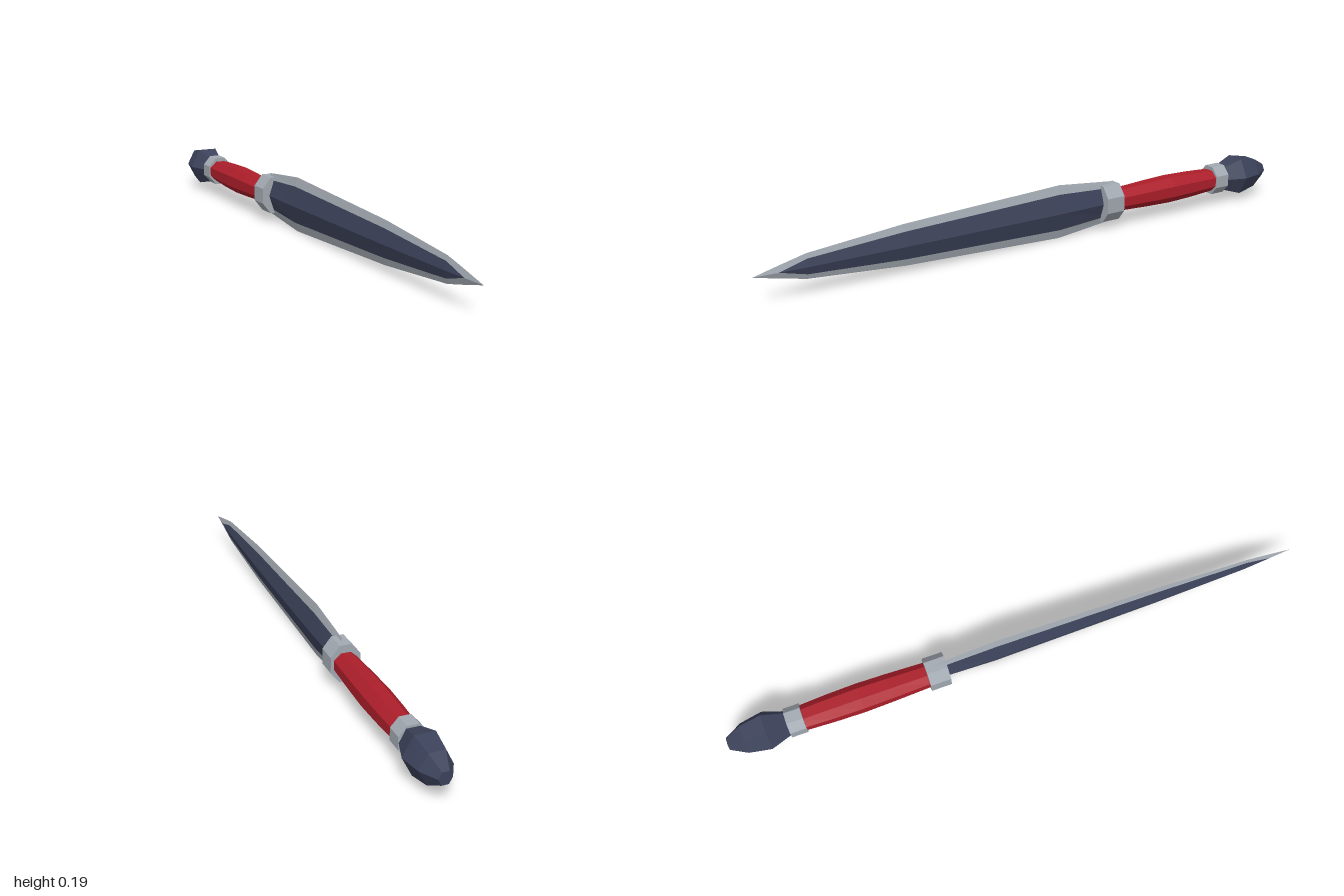
import * as THREE from 'three';

const AXIS_Y = 0.097;

const material = (name, color) => {
  const m = new THREE.MeshStandardMaterial({ color, flatShading: true });
  m.name = name;
  return m;
};

// Skin rings (counter-clockwise seen from +z, ordered from +z to -z).
// Only the bands accepted by useBand are built; the ends are capped on request.
function loft(rings, useBand = () => true, capped = false) {
  const pos = [];
  const tri = (a, b, c) => {
    const area = new THREE.Triangle(a, b, c).getArea();
    if (area > 1e-9) for (const p of [a, b, c]) pos.push(p.x, p.y, p.z);
  };
  const n = rings[0].length;
  for (let r = 0; r < rings.length - 1; r++) {
    const A = rings[r], B = rings[r + 1];
    for (let k = 0; k < n; k++) {
      if (!useBand(k)) continue;
      const j = (k + 1) % n;
      tri(A[k], B[k], A[j]);
      tri(A[j], B[k], B[j]);
    }
  }
  if (capped) {
    const first = rings[0], last = rings[rings.length - 1];
    for (let k = 1; k < n - 1; k++) {
      tri(first[0], first[k], first[k + 1]);
      tri(last[0], last[k + 1], last[k]);
    }
  }
  const g = new THREE.BufferGeometry();
  g.setAttribute('position', new THREE.Float32BufferAttribute(pos, 3));
  g.computeVertexNormals();
  return g;
}

// Polygon ring with half-width w and half-height h
function polygon(sides, z, w, h, turn = 0) {
  const k = turn ? 1 / Math.cos(Math.PI / sides) : 1;
  return Array.from({ length: sides }, (_, i) => {
    const a = ((i + turn) / sides) * Math.PI * 2;
    return new THREE.Vector3(Math.cos(a) * w * k, Math.sin(a) * h * k, z);
  });
}

// Diamond blade section: edge half-height, inlay half-height, half-thickness
function bladeRing([z, edge, inlay, thick]) {
  const a = edge > 0 ? thick * (1 - inlay / edge) : 0;
  return [
    [thick, 0], [a, inlay], [0, edge], [-a, inlay],
    [-thick, 0], [-a, -inlay], [0, -edge], [a, -inlay],
  ].map(([x, y]) => new THREE.Vector3(x, y, z));
}

export function createModel() {
  const steel = material('steel', 0xa3aab2);
  const darkMetal = material('dark blue metal', 0x3c425a);
  const red = material('red grip', 0xac1e2a);

  const dagger = new THREE.Group();
  dagger.name = 'dagger';
  const add = (name, geometry, mat) => {
    const mesh = new THREE.Mesh(geometry, mat);
    mesh.name = name;
    mesh.position.y = AXIS_Y;
    dagger.add(mesh);
  };

  // Blade: dark central faces and pale cutting edges
  const blade = [
    [1.0, 0, 0, 0],
    [0.92, 0.02, 0, 0.006],
    [0.83, 0.041, 0.025, 0.012],
    [0.5, 0.07, 0.046, 0.02],
    [-0.08, 0.094, 0.063, 0.027],
    [-0.29, 0.072, 0.05, 0.025],
  ].map(bladeRing);
  const isInlay = (k) => [0, 3, 4, 7].includes(k);
  add('bladeFaces', loft(blade, isInlay), darkMetal);
  add('bladeEdges', loft(blade, (k) => !isInlay(k)), steel);

  // Octagonal collars at both ends of the grip
  const collar = (name, z0, z1, w, h) =>
    add(name, loft([polygon(8, z0, w, h, 0.5), polygon(8, z1, w, h, 0.5)], undefined, true), steel);
  collar('guardCollar', -0.25, -0.32, 0.05, 0.064);
  collar('pommelCollar', -0.745, -0.8, 0.045, 0.051);

  // Grip, slightly swollen in the middle
  const grip = [
    [-0.3, 0.039, 0.036],
    [-0.45, 0.044, 0.043],
    [-0.55, 0.046, 0.046],
    [-0.65, 0.044, 0.043],
    [-0.77, 0.039, 0.036],
  ].map(([z, w, h]) => polygon(8, z, w, h, 0.5));
  add('grip', loft(grip, undefined, true), red);

  // Faceted hexagonal pommel; k undoes the flat-to-flat height of a hexagon
  const k = 1 / Math.sin(Math.PI / 3);
  const pommel = [
    [-0.79, 0.04, 0.04],
    [-0.87, 0.067, 0.065],
    [-0.945, 0.053, 0.051],
    [-1.0, 0.022, 0.021],
  ].map(([z, w, h]) => polygon(6, z, w, h * k));
  add('pommel', loft(pommel, undefined, true), darkMetal);

  return dagger;
}
